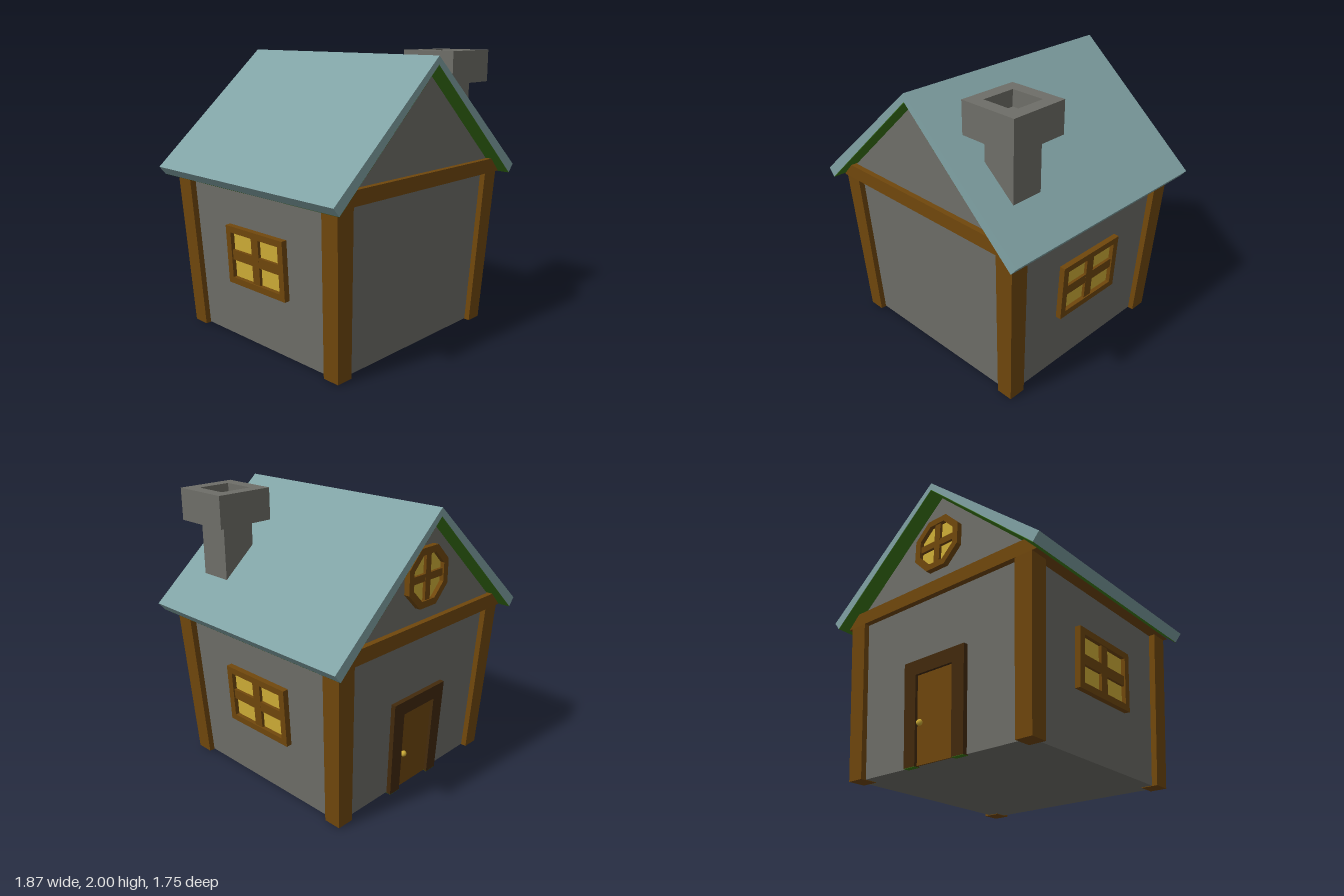
import * as THREE from 'three';

function material(name, color) {
  const m = new THREE.MeshStandardMaterial({ color });
  m.name = name;
  return m;
}

export function createModel() {
  const stone = material('stone', 0x6e6e68);
  const wood = material('wood', 0x70470c);
  const darkWood = material('darkWood', 0x432a0c);
  const roofTeal = material('roofTeal', 0x80a2a4);
  const green = material('green', 0x3a7616);
  const yellow = material('yellow', 0xcfae37);

  const house = new THREE.Group();
  house.name = 'house';

  function add(parent, name, geometry, mat, x = 0, y = 0, z = 0) {
    const mesh = new THREE.Mesh(geometry, mat);
    mesh.name = name;
    mesh.position.set(x, y, z);
    parent.add(mesh);
    return mesh;
  }

  // Box whose bottom and top rectangles [x0, x1, z0, z1] differ
  function taperedBox(y0, y1, bottom, top) {
    const g = new THREE.BoxGeometry(1, 1, 1);
    const p = g.attributes.position;
    for (let i = 0; i < p.count; i++) {
      const up = p.getY(i) > 0;
      const r = up ? top : bottom;
      p.setXYZ(i, p.getX(i) > 0 ? r[1] : r[0], up ? y1 : y0, p.getZ(i) > 0 ? r[3] : r[2]);
    }
    g.computeVertexNormals();
    return g;
  }

  const toPoints = (list) => list.map(([x, y]) => new THREE.Vector2(x, y));
  const rect = (w, h) => [[-w, -h], [w, -h], [w, h], [-w, h]];
  const octagon = (r) => Array.from({ length: 8 }, (_, i) => {
    const a = (i + 0.5) * Math.PI / 4;
    return [r * Math.cos(a), r * Math.sin(a)];
  });

  // Extruded outline starting at z = 0, with an optional hole
  function prism(outline, depth, hole) {
    const shape = new THREE.Shape(toPoints(outline));
    if (hole) shape.holes.push(new THREE.Path(toPoints(hole)));
    return new THREE.ExtrudeGeometry(shape, { depth, bevelEnabled: false });
  }

  // Group on a wall, facing outward and leaning with it
  function wallGroup(name, x, y, z, turn, lean) {
    const g = new THREE.Group();
    g.name = name;
    g.position.set(x, y, z);
    g.rotation.set(lean, turn, 0, 'YXZ');
    house.add(g);
    return g;
  }

  // Walls flaring upward, and solid gables
  add(house, 'walls', taperedBox(0.008, 1.14,
    [-0.725, 0.725, -0.705, 0.705], [-0.78, 0.78, -0.76, 0.76]), stone);
  add(house, 'gables', prism([[-0.765, 1.22], [0.765, 1.22], [0, 1.923]], 1.52), stone, 0, 0, -0.76);

  // Corner posts
  for (const sx of [-1, 1]) for (const sz of [-1, 1]) {
    const span = (a, b, s) => (s > 0 ? [a, b] : [-b, -a]);
    add(house, 'cornerPost', taperedBox(0.004, 1.135,
      [...span(0.645, 0.765, sx), ...span(0.62, 0.745, sz)],
      [...span(0.69, 0.825, sx), ...span(0.665, 0.8, sz)]), wood);
  }

  // Beam under the gables and eaves
  add(house, 'eaveBeam', prism([[-0.86, 1.13], [0.86, 1.13], [0.765, 1.23], [-0.765, 1.23]], 1.6),
    wood, 0, 0, -0.8);

  // Roof slopes with green undersides
  for (const s of [-1, 1]) {
    add(house, 'roofSlope', prism(
      [[0, 1.985], [0, 1.93], [s * 0.888, 1.123], [s * 0.935, 1.18]], 1.75), roofTeal, 0, 0, -0.875);
    add(house, 'roofUnderside', prism(
      [[0, 1.93], [0, 1.926], [s * 0.886, 1.121], [s * 0.888, 1.123]], 1.746), green, 0, 0, -0.873);
  }

  // Chimney: stack and hollow cap
  add(house, 'chimneyStack', new THREE.BoxGeometry(0.24, 0.56, 0.24), stone, 0.56, 1.61, 0.52);
  const cap = add(house, 'chimneyCap', prism(rect(0.21, 0.21), 0.22, rect(0.12, 0.12)),
    stone, 0.56, 1.78, 0.52);
  cap.rotation.x = -Math.PI / 2;

  // Framed window with crossed bars and a thin pane
  function buildWindow(group, outer, inner, w, h, barW, barH) {
    add(group, 'windowFrame', prism(outer, 0.05, inner), wood, 0, 0, -0.01);
    add(group, 'windowPane', prism(inner, 0.006), yellow, 0, 0, 0.004);
    add(group, 'uprightBar', new THREE.BoxGeometry(barW, h * 2, 0.036), wood, 0, 0, 0.013);
    add(group, 'crossBar', new THREE.BoxGeometry(w * 2, barH, 0.034), wood, 0, 0, 0.013);
  }
  for (const s of [-1, 1]) {
    const g = wallGroup('sideWindow', s * 0.756, 0.632, 0, s * Math.PI / 2, 0.049);
    buildWindow(g, rect(0.288, 0.207), rect(0.24, 0.162), 0.24, 0.162, 0.07, 0.07);
  }
  const round = wallGroup('gableWindow', 0, 1.53, -0.76, Math.PI, 0);
  buildWindow(round, octagon(0.215), octagon(0.165), 0.153, 0.153, 0.05, 0.05);

  // Back door with frame and knob
  const door = wallGroup('door', 0, 0.003, -0.705, Math.PI, 0.049);
  add(door, 'doorFrame', prism([[-0.25, 0], [-0.155, 0], [-0.16, 0.6], [0.16, 0.6],
    [0.155, 0], [0.25, 0], [0.265, 0.7], [-0.265, 0.7]], 0.045), darkWood, 0, 0, -0.012);
  add(door, 'doorPanel', new THREE.BoxGeometry(0.33, 0.6, 0.02), wood, 0, 0.305, 0.002);
  const knob = add(door, 'doorKnob', new THREE.IcosahedronGeometry(0.022, 1), yellow, -0.125, 0.275, 0.026);
  knob.scale.z = 0.9;
  for (const s of [-1, 1]) {
    add(door, 'doorFrameFoot', new THREE.BoxGeometry(0.095, 0.002, 0.045), green, s * 0.2025, -0.001, 0.0105);
  }

  return house;
}
